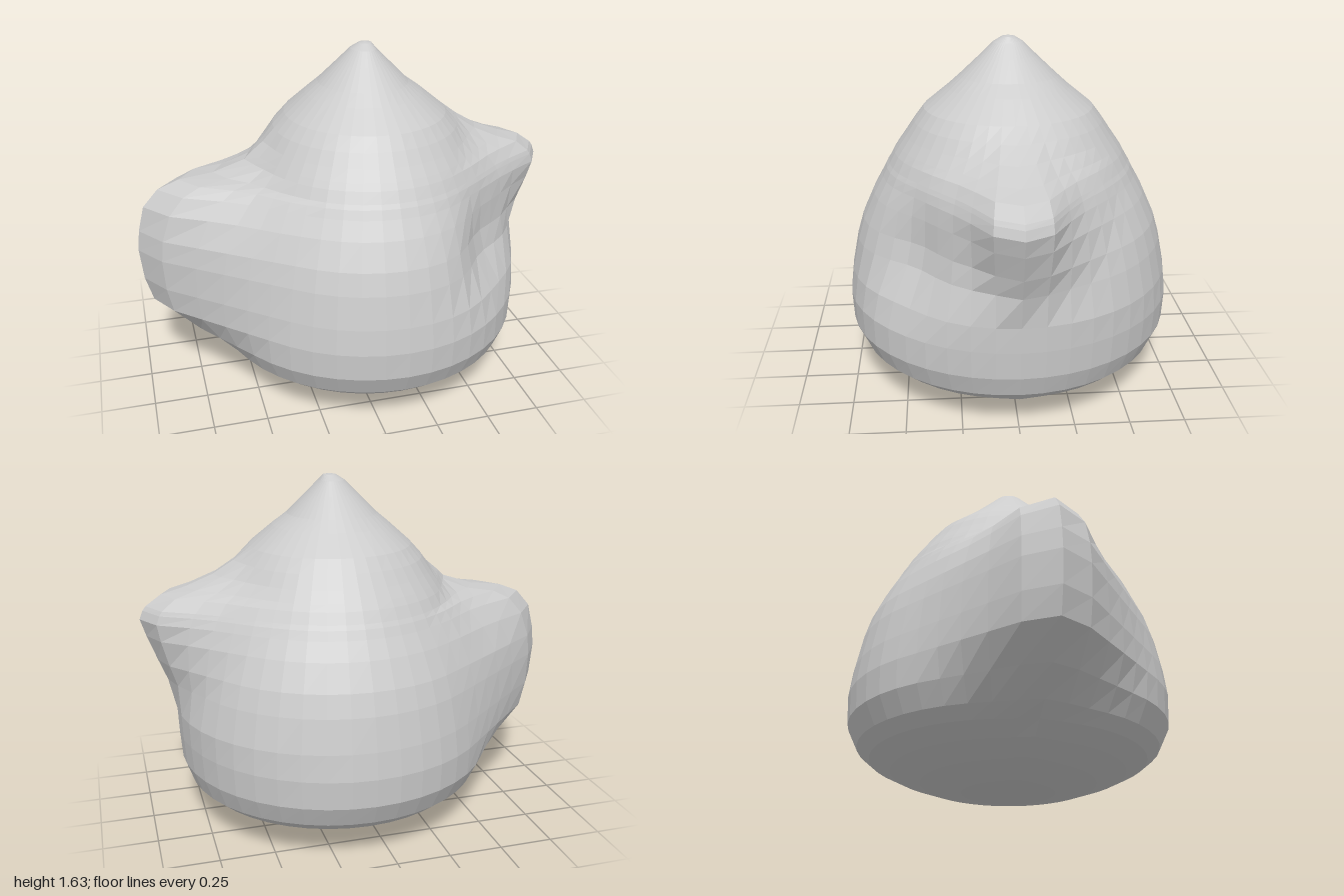
import * as THREE from 'three';

const AXIS = 0.1; // x of the body's centre line
const SIDES = 44;

// Level rows: height, body radius, reach of the handle side (-x), reach of the spout side (+x)
const LEVELS = [
  [0, 0, 0.1, 0.1], [0.01, 0.22, -0.14, 0.32], [0.05, 0.41, -0.35, 0.51], [0.1, 0.55, -0.48, 0.66],
  [0.15, 0.65, -0.57, 0.76], [0.2, 0.71, -0.66, 0.805], [0.3, 0.758, -0.8, 0.84], [0.43, 0.765, -0.95, 0.85],
  [0.55, 0.75, -0.985, 0.855], [0.7, 0.72, -1, 0.89], [0.8, 0.69, -0.99, 0.93], [0.92, 0.635, -0.96, 0.975],
  [1.0, 0.59, -0.89, 1], [1.04, 0.57, -0.79, 0.985], [1.06, 0.557, -0.63, 0.97], [1.11, 0.53, -0.48, 0.9],
  [1.14, 0.51, -0.45, 0.79], [1.19, 0.475, -0.39, 0.66], [1.25, 0.435, -0.335, 0.56], [1.31, 0.39, -0.28, 0.48],
  [1.4, 0.28, -0.18, 0.37], [1.45, 0.225, -0.12, 0.3], [1.54, 0.13, -0.03, 0.21], [1.6, 0.07, 0.03, 0.15],
  [1.625, 0.03, 0.07, 0.13], [1.63, 0, 0.1, 0.1],
];

// Radius at angle a of a round body stretched over a smaller round tip reaching out to d
function stretched(a, r, d, tip, pinch) {
  if (d < r + 0.01) return r + (d - r) * Math.max(0, Math.cos(a)) ** 2;
  const t = Math.min(tip, r * 0.5), c = d - t;
  const b = Math.acos((r - t) / c);
  if (a >= b) return r;
  const edge = Math.atan2(t * Math.sin(b), c + t * Math.cos(b));
  const hull = a < edge
    ? c * Math.cos(a) + Math.sqrt(Math.max(0, t * t - (c * Math.sin(a)) ** 2))
    : r / Math.cos(b - a);
  return r + (hull - r) * (1 - pinch * Math.sin(Math.PI * a / b) ** 2);
}

const bump = (v, centre, width) => Math.exp(-(((v - centre) / width) ** 2));

function radiusAt(a, [y, r, left, right]) {
  const high = THREE.MathUtils.smoothstep(y, 0.8, 1.05);
  const fromX = Math.abs(a);
  if (fromX > Math.PI / 2) return stretched(Math.PI - fromX, r, AXIS - left, 0.14, 0.4 * high);
  // The spout flank is hollow at the front and full at the back
  const front = a > 0 ? 0.5 * bump(y, 0.75, 0.25) : 0;
  const radius = stretched(fromX, r, right - AXIS, 0.17, Math.max(front, 0.3 * high));
  return radius - 0.1 * bump(a, 0.78, 0.34) * bump(y, 0.74, 0.2);
}

export function createModel() {
  const positions = [], index = [];
  LEVELS.forEach((level, j) => {
    for (let i = 0; i < SIDES; i++) {
      const a = -Math.PI + (i / SIDES) * Math.PI * 2;
      const radius = radiusAt(a, level) * (level[1] > 0 ? 1 : 0);
      positions.push(AXIS + radius * Math.cos(a), level[0], radius * Math.sin(a));
      if (j === LEVELS.length - 1) continue;
      const p = j * SIDES + i, q = j * SIDES + (i + 1) % SIDES;
      if (j < LEVELS.length - 2) index.push(p + SIDES, q + SIDES, q);
      if (j > 0) index.push(p, p + SIDES, q);
    }
  });

  const geometry = new THREE.BufferGeometry();
  geometry.setAttribute('position', new THREE.Float32BufferAttribute(positions, 3));
  geometry.setIndex(index);
  geometry.computeVertexNormals();

  // One continuous skin over body, handle bulge, spout and knob
  const skin = new THREE.Mesh(geometry, new THREE.MeshStandardMaterial({ color: 0xcccccc, flatShading: true }));
  skin.name = 'potBody';
  const group = new THREE.Group();
  group.name = 'wrappedPot';
  group.add(skin);
  return group;
}
